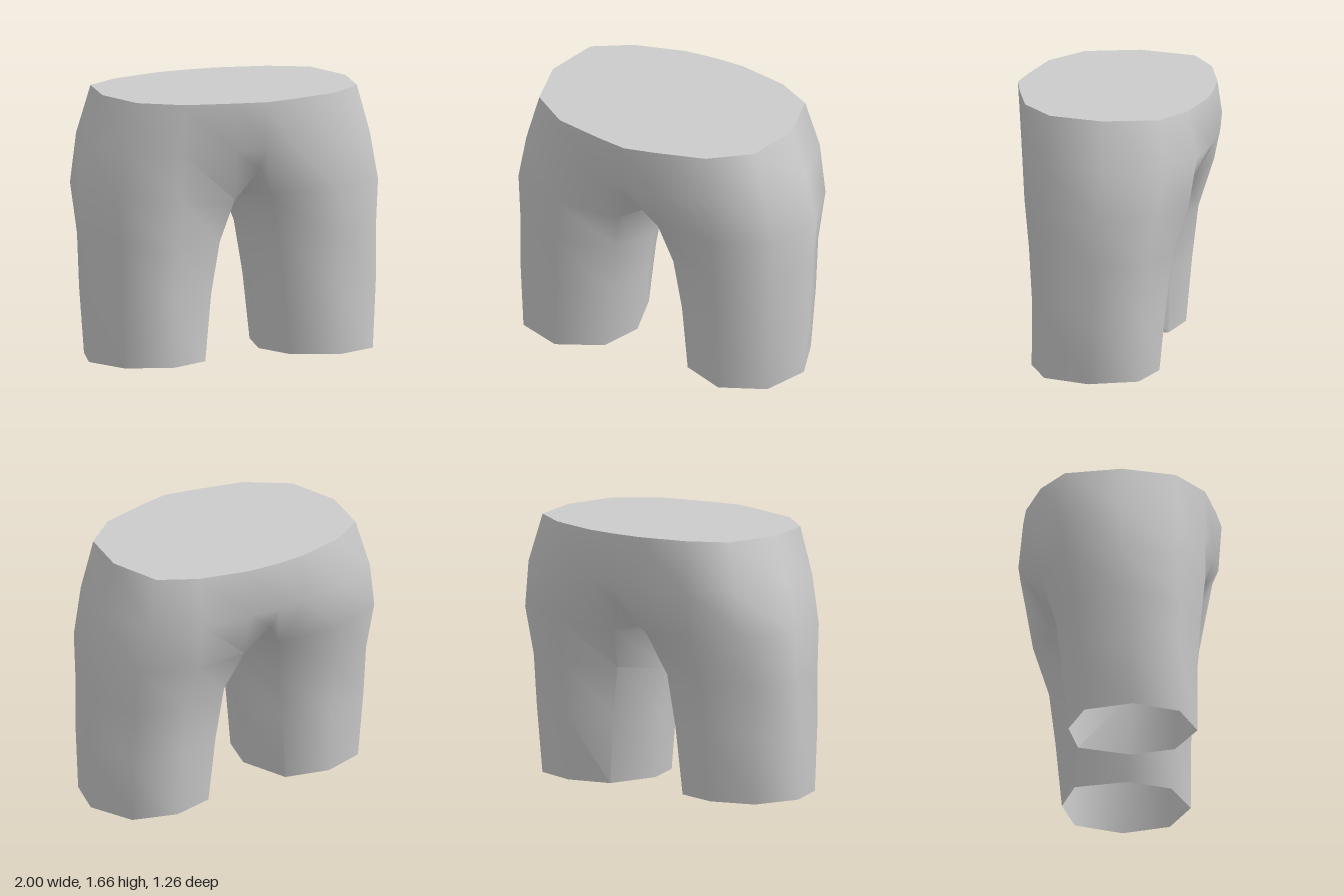
import * as THREE from 'three';
import { toCreasedNormals } from 'three/addons/utils/BufferGeometryUtils.js';

// Half sections from waist to hem: height, then x,z pairs running from the
// inner front round the hip to the inner back.
const SECTIONS = [
  [1.66, 0.20, 0.59, 0.51, 0.51, 0.75, 0.32, 0.83, -0.02, 0.75, -0.37, 0.52, -0.51, 0.20, -0.59],
  [1.36, 0.20, 0.58, 0.54, 0.51, 0.83, 0.34, 0.93, -0.03, 0.83, -0.41, 0.54, -0.57, 0.20, -0.61],
  [1.06, 0.13, 0.42, 0.54, 0.51, 0.89, 0.33, 1.00, -0.03, 0.89, -0.37, 0.54, -0.52, 0.13, -0.43],
  [0.75, 0.20, 0.35, 0.55, 0.48, 0.87, 0.34, 0.99, 0.00, 0.87, -0.31, 0.55, -0.42, 0.20, -0.31],
  [0.42, 0.25, 0.33, 0.56, 0.46, 0.87, 0.34, 0.985, 0.03, 0.87, -0.28, 0.56, -0.38, 0.25, -0.29],
  [0.00, 0.29, 0.33, 0.57, 0.46, 0.85, 0.34, 0.955, 0.05, 0.85, -0.25, 0.57, -0.34, 0.29, -0.27],
];
// Inner thigh, one point for each section from the crotch down
const THIGH = [[0.03, 0.93, 0.03], [0.092, 0.7, 0.04], [0.135, 0.42, 0.05], [0.2, 0, 0.06]];
// Centre seam, front and back
const FRONT = [[0, 1.66, 0.63], [0, 1.36, 0.61], [0, 1.22, 0.51], [0, 1.05, 0.27]];
const BACK = [[0, 1.66, -0.6], [0, 1.36, -0.63], [0, 1.2, -0.53], [0, 1.05, -0.28]];
const CROTCH = [0, 0.985, 0.02];

// Collects convex polygons, each added on both sides of the body
function polygonBuilder() {
  const positions = [];
  const add = (...corners) => {
    const mirrored = corners.map(([x, y, z]) => [-x, y, z]).reverse();
    for (const c of [corners, mirrored]) {
      for (let i = 1; i < c.length - 1; i++) positions.push(...c[0], ...c[i], ...c[i + 1]);
    }
  };
  const build = () => {
    const g = new THREE.BufferGeometry();
    g.setAttribute('position', new THREE.Float32BufferAttribute(positions, 3));
    return toCreasedNormals(g, THREE.MathUtils.degToRad(60));
  };
  return { add, build };
}

function sectionPoints([y, ...xz], row) {
  const points = [];
  for (let j = 0; j < 7; j++) {
    const dip = row === 2 && (j === 0 || j === 6) ? 0.04 : 0;
    points.push([xz[2 * j], y - dip, xz[2 * j + 1]]);
  }
  return points;
}

export function createModel() {
  const group = new THREE.Group();
  group.name = 'shorts';
  const material = new THREE.MeshStandardMaterial({ color: 0xcccccc, side: THREE.DoubleSide });
  const rows = SECTIONS.map(sectionPoints);

  const body = polygonBuilder();
  // Hips: waist down to the top of the legs
  for (let r = 0; r < 2; r++) {
    const upper = [FRONT[r], ...rows[r], BACK[r]];
    const lower = [FRONT[r + 1], ...rows[r + 1], BACK[r + 1]];
    for (let j = 0; j < 8; j++) body.add(upper[j], lower[j], lower[j + 1], upper[j + 1]);
  }
  // Legs: closed loops including the inner thigh
  for (let r = 2; r < 5; r++) {
    const upper = [...rows[r], THIGH[r - 2]];
    const lower = [...rows[r + 1], THIGH[r - 1]];
    for (let j = 0; j < 8; j++) {
      const k = (j + 1) % 8;
      body.add(upper[j], lower[j], lower[k], upper[k]);
    }
  }
  // Crotch: joins the seam to the inner thighs
  const top = rows[2];
  body.add(CROTCH, THIGH[0], top[0], FRONT[3]);
  body.add(FRONT[3], top[0], FRONT[2]);
  body.add(BACK[2], top[6], BACK[3]);
  body.add(BACK[3], top[6], THIGH[0], CROTCH);

  // Flat lid closing the waist
  const lid = polygonBuilder();
  const rim = [FRONT[0], ...rows[0], BACK[0]];
  for (let j = 0; j < 8; j++) lid.add([0, 1.66, 0], rim[j], rim[j + 1]);

  for (const [name, part] of [['hipsAndLegs', body], ['waistCap', lid]]) {
    const mesh = new THREE.Mesh(part.build(), material);
    mesh.name = name;
    group.add(mesh);
  }
  return group;
}
